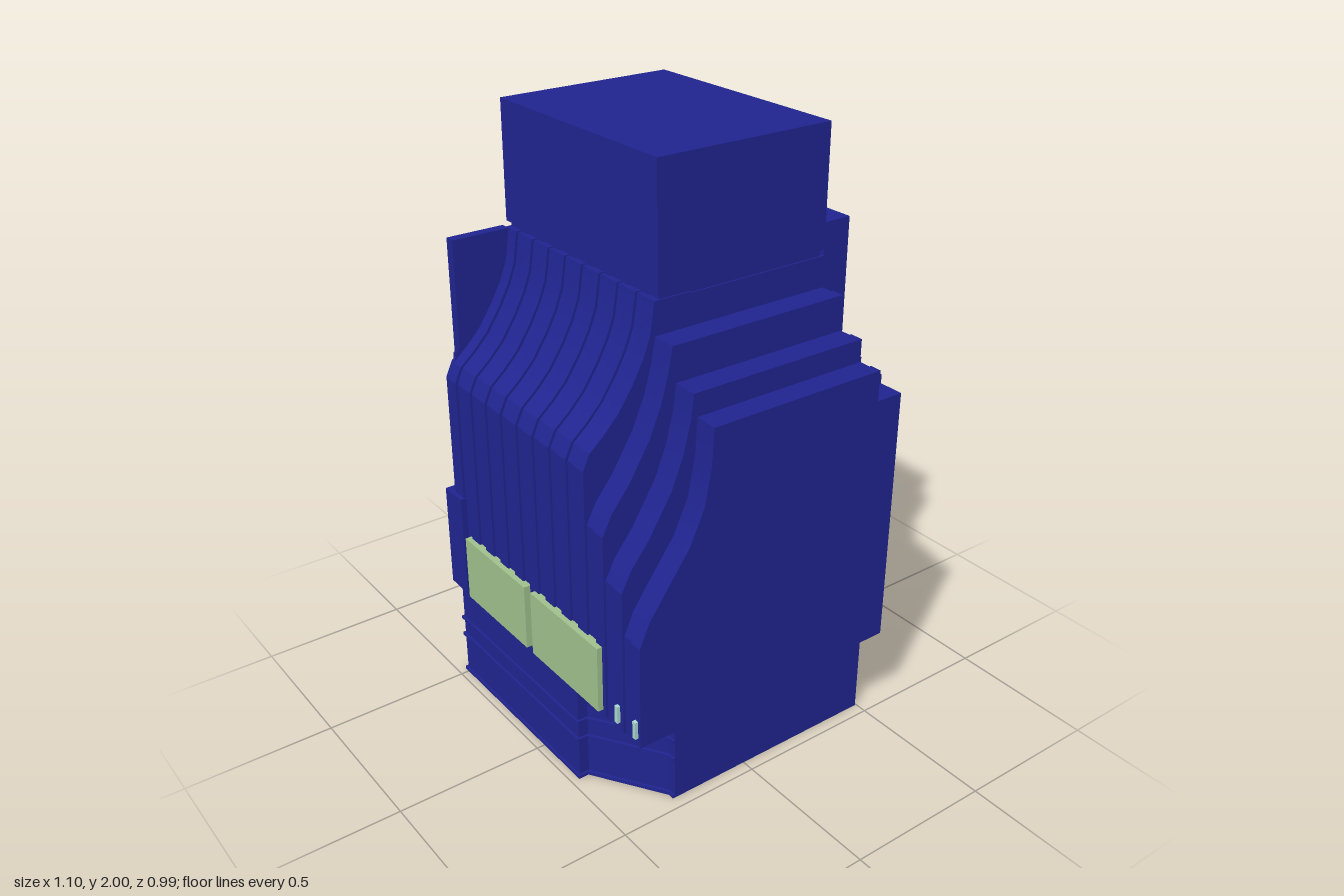
import * as THREE from 'three';
import { toCreasedNormals } from 'three/addons/utils/BufferGeometryUtils.js';

const blue = new THREE.MeshStandardMaterial({ color: 0x20248f });
const green = new THREE.MeshStandardMaterial({ color: 0x9fbf8c });
const pale = new THREE.MeshStandardMaterial({ color: 0xa8d8d0 });

const BACK = -0.495, MID = -0.4, FRONT = 0.473, FLOOR = 0.35;
const DEPTH = 0.008; // how far ribs stand out

// Front slopes as [z, y], from the top down to the vertical front
const mainSlope = [[0.225, 1.6], [0.24, 1.5], [0.265, 1.435], [0.3, 1.37], [0.35, 1.295], [0.4, 1.243], [0.45, 1.2], [FRONT, 1.15]];
const stepSlopes = [
  [[0.23, 1.5], [0.245, 1.42], [0.27, 1.33], [0.31, 1.235], [0.38, 1.12], [0.44, 1.045], [FRONT, 0.98]],
  [[0.225, 1.39], [0.235, 1.31], [0.26, 1.21], [0.3, 1.11], [0.38, 0.98], [0.44, 0.905], [FRONT, 0.84]],
  [[0.22, 1.32], [0.227, 1.2], [0.25, 1.08], [0.3, 0.97], [0.38, 0.86], [0.44, 0.775], [FRONT, 0.7]],
];
const shoulder = [[MID, 1.6], [-0.412, 1.52], [-0.435, 1.45], [-0.465, 1.39], [-0.485, 1.33], [BACK, 1.26]];

export function createModel() {
  const model = new THREE.Group();

  const add = (name, geometry, material = blue) => {
    const mesh = new THREE.Mesh(geometry, material);
    mesh.name = name;
    model.add(mesh);
    return mesh;
  };

  // Box given by its limits on each axis
  const box = (name, x0, x1, y0, y1, z0, z1, material = blue) => {
    const mesh = add(name, new THREE.BoxGeometry(x1 - x0, y1 - y0, z1 - z0), material);
    mesh.position.set((x0 + x1) / 2, (y0 + y1) / 2, (z0 + z1) / 2);
    return mesh;
  };

  // Side outline of [z, y] points, extruded from x0 to x1
  const slab = (name, x0, x1, outline) => {
    const shape = new THREE.Shape(outline.map(([z, y]) => new THREE.Vector2(-z, y)));
    const g = new THREE.ExtrudeGeometry(shape, { depth: x1 - x0, bevelEnabled: false });
    g.rotateY(Math.PI / 2).translate(x0, 0, 0);
    return add(name, toCreasedNormals(g, 0.4));
  };

  // Plan outline of [x, z] points, extruded from y0 to y1
  const plan = (name, y0, y1, outline) => {
    const shape = new THREE.Shape(outline.map(([x, z]) => new THREE.Vector2(x, -z)));
    const g = new THREE.ExtrudeGeometry(shape, { depth: y1 - y0, bevelEnabled: false });
    g.rotateX(-Math.PI / 2).translate(0, y0, 0);
    return add(name, g);
  };

  // Body slice with a sloping front; inset moves it back behind the ribs
  const slice = (name, x0, x1, slope, inset = 0, zBack = MID) => slab(name, x0, x1, [
    [zBack, FLOOR], [zBack, slope[0][1] - inset / 2],
    ...slope.map(([z, y]) => [z - inset, y - inset / 2]), [FRONT - inset, FLOOR],
  ]);

  // Main body with ribbed front
  slice('mainBody', -0.512, 0.28, mainSlope, DEPTH);
  for (let k = 0; k < 9; k++) {
    const x = 0.23 - k * 0.09;
    slice('frontRib', x, x + 0.05, mainSlope, 0, 0.1);
  }

  // Three descending steps on the left flank, with lower steps behind
  stepSlopes.forEach((slope, i) => {
    const x0 = 0.28 + i * 0.09, x1 = Math.min(x0 + 0.09, 0.545);
    slice('sideStep', x0, x1, slope, DEPTH);
    slice('sideStepRib', x0 + 0.045, x1, slope);
    box('rearStep', x0, x1, FLOOR, [1.275, 1.25, 1.22][i], BACK, MID);
  });

  // Back wall and its curved shoulder
  box('backWall', -0.34, 0.28, FLOOR, 1.7, BACK, MID);
  slab('backShoulder', -0.512, -0.34, [...shoulder, [BACK, FLOOR], [MID, FLOOR]]);

  // Upper block on a recessed neck
  box('neck', -0.5, 0.275, 1.58, 1.63, MID + 0.012, 0.205);
  box('upperBlock', -0.513, 0.28, 1.615, 2, MID, 0.215);

  // Base with a cut front corner, and thin bands around its front
  const baseOutline = (o) => [
    [-0.512 - o, BACK], [-0.512 - o, 0.465 + o], [0.2 + o, 0.465 + o], [0.2 + o, 0.43 + o],
    [0.43 + o, 0.28 + o], [0.458, 0.28 + o], [0.458, BACK],
  ].reverse();
  plan('base', 0, FLOOR, baseOutline(0));
  const bandOutline = (o) => {
    const p = baseOutline(o);
    p[0][1] = p[p.length - 1][1] = -0.15;
    return p;
  };
  [[0, 0.012], [0.148, 0.158], [0.217, 0.227]].forEach(([y0, y1]) => plan('baseBand', y0, y1, bandOutline(0.007)));

  // Ribs along the right flank, following the roof height
  const roof = [...shoulder].reverse().concat(mainSlope);
  const roofAt = (z) => {
    for (let i = 1; i < roof.length; i++) {
      const [z0, y0] = roof[i - 1], [z1, y1] = roof[i];
      if (z <= z1) return y0 + (y1 - y0) * (z - z0) / (z1 - z0);
    }
    return roof[roof.length - 1][1];
  };
  for (let k = 0; k < 12; k++) {
    const z0 = BACK + k * 0.08, z1 = z0 + 0.045;
    const zs = [z0, (z0 + z1) / 2, z1];
    const low = z0 < -0.16 ? 0 : FLOOR;
    slab('sideRib', -0.52, -0.51, [...zs.map((z) => [z, roofAt(z)]), [z1, low], [z0, low]]);
    box('sideLamp', -0.526, -0.515, 0.375, 0.435, z0 + 0.014, z0 + 0.029, pale);
  }
  slice('cornerRib', -0.52, -0.485, mainSlope, 0, 0.425);

  // Small lamps on the front
  [0.437, 0.527].forEach((x) => box('frontLamp', x - 0.007, x + 0.007, 0.38, 0.44, 0.465, 0.484, pale));

  // Sign panels
  box('frontSign', -0.413, -0.048, 0.372, 0.6, 0.465, 0.491, green);
  box('frontSign', -0.012, 0.355, 0.372, 0.6, 0.465, 0.491, green);
  box('sideSign', -0.55, -0.515, 0.7, 1.21, -0.44, 0.367, green);
  plan('cornerSign', 0.372, 0.735, [
    [-0.535, 0.392], [-0.535, 0.487], [-0.435, 0.487], [-0.435, 0.466], [-0.515, 0.466], [-0.515, 0.392],
  ].reverse(), green);

  // Small sign over the cut corner
  const sign = box('entranceSign', 0.254, 0.35, 0.265, 0.349, 0.36, 0.38, green);
  sign.rotation.y = Math.atan2(0.15, 0.23);

  return model;
}
